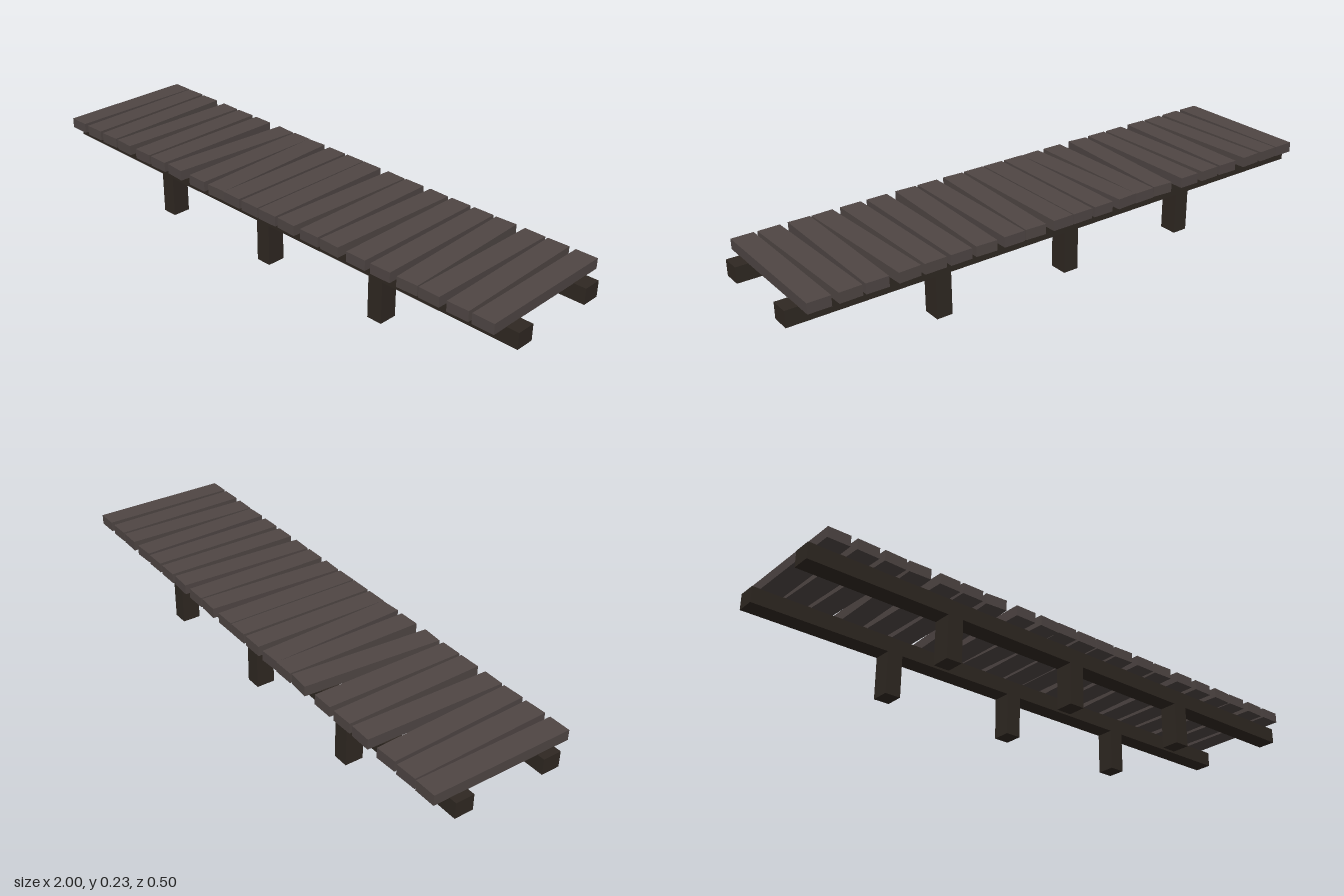
import * as THREE from 'three';

const plankMaterial = new THREE.MeshStandardMaterial({ color: 0x4f4644 });
const frameMaterial = new THREE.MeshStandardMaterial({ color: 0x2f2822 });

function addBox(parent, name, material, size, position) {
  const mesh = new THREE.Mesh(new THREE.BoxGeometry(...size), material);
  mesh.name = name;
  mesh.position.set(...position);
  parent.add(mesh);
  return mesh;
}

export function createModel() {
  const group = new THREE.Group();
  group.name = 'boardwalk';

  // Two long beams, each carried by three short posts
  for (const [side, z] of [['front', 0.16], ['back', -0.158]]) {
    addBox(group, side + 'Beam', frameMaterial, [2, 0.054, 0.064], [0, 0.172, z]);
    for (const x of [-0.492, -0.003, 0.487]) {
      addBox(group, side + 'Post', frameMaterial, [0.055, 0.145, 0.064], [x, 0.0725, z]);
    }
  }

  // Deck planks: [centre x, sideways shift from back end to front end]
  const planks = [
    [-0.936, 0], [-0.848, 0.016], [-0.759, 0.021], [-0.658, -0.011], [-0.561, 0.011],
    [-0.471, 0], [-0.364, -0.034], [-0.265, 0.003], [-0.179, 0.026], [-0.091, 0],
    [-0.005, 0], [0.075, 0.002], [0.171, -0.021], [0.262, 0], [0.356, -0.018],
    [0.455, 0], [0.548, 0.006], [0.642, 0.021], [0.735, -0.006], [0.828, 0.011], [0.92, 0],
  ];
  const length = 0.491;
  const deck = new THREE.Group();
  deck.name = 'deck';
  for (const [x, shift] of planks) {
    const plank = addBox(deck, 'plank', plankMaterial, [0.075, 0.035, length], [x, 0.2155, 0.001]);
    plank.rotation.y = Math.atan2(shift, length);
  }
  group.add(deck);

  return group;
}
